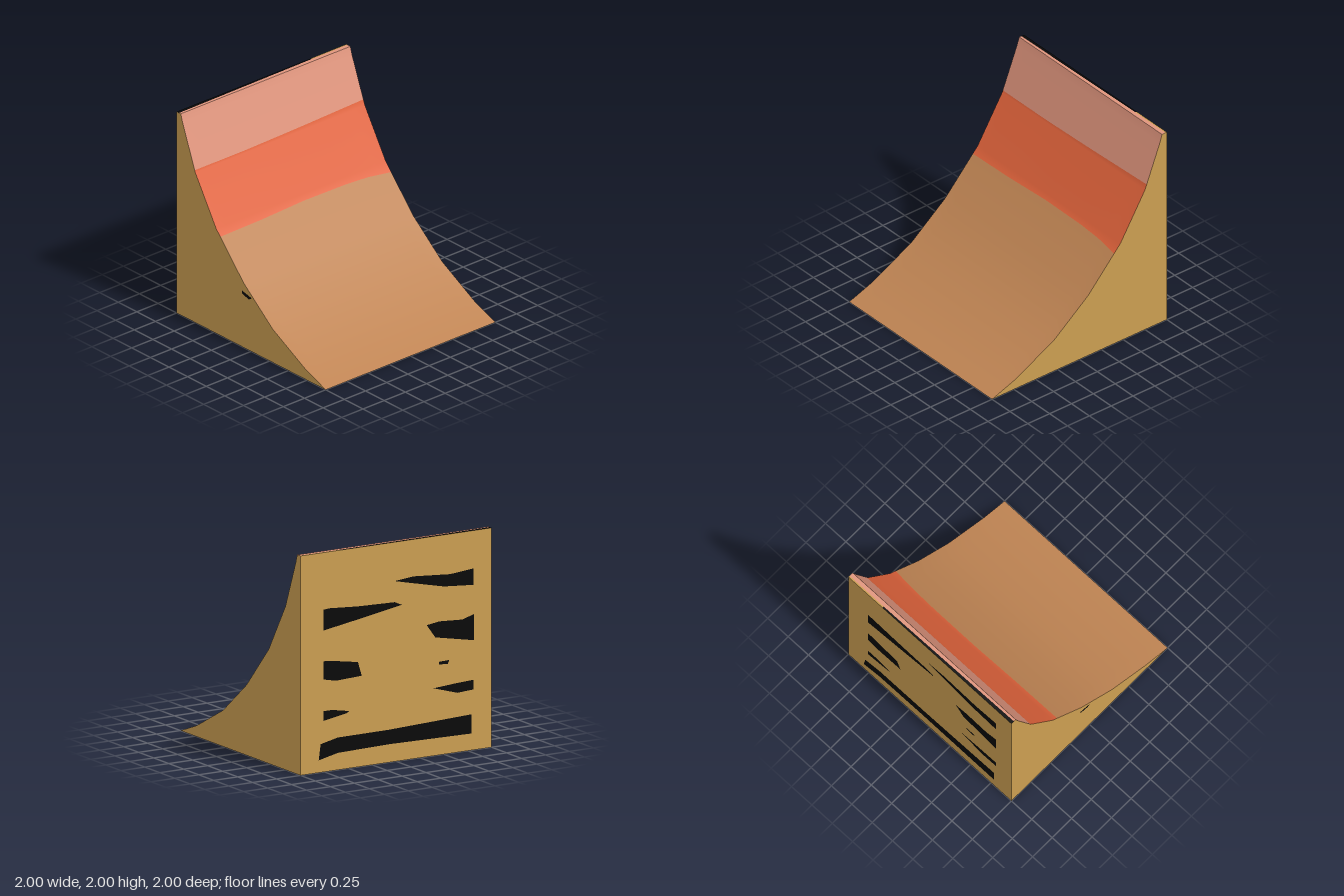
import * as THREE from 'three';

const mat = (name, color) => {
  const m = new THREE.MeshStandardMaterial({ color });
  m.name = name;
  return m;
};

// Side profile of the ramp as [z, y], from the front toe to the top lip
const PROFILE = [[1, 0], [0.73, 0.1], [0.29, 0.33], [-0.1, 0.64], [-0.47, 1.04], [-0.75, 1.49], [-0.92, 1.92], [-0.945, 2]];

const lerpTable = (table, t) => {
  for (let i = 1; i < table.length; i++) {
    const [a, av] = table[i - 1], [b, bv] = table[i];
    if (t <= b) return av + (bv - av) * (t - a) / (b - a);
  }
  return table[table.length - 1][1];
};
const depthAt = y => lerpTable(PROFILE.map(([z, h]) => [h, z]), y);

// Heights of the two wavy colour borders across the width
const lowerBorder = x => lerpTable([[-1, 0.98], [-0.5, 0.985], [0, 0.998], [0.5, 0.995], [0.75, 0.985], [1, 0.96]], x);
const upperBorder = x => lerpTable([[-1, 1.51], [-0.4, 1.51], [0.2, 1.52], [1, 1.54]], x);

// Curved riding surface: one smooth grid with a material group per band
function rampSurface() {
  const rows = PROFILE.map(p => () => p[1]);
  rows.splice(6, 0, upperBorder);
  rows.splice(4, 0, lowerBorder);
  const cols = 16, pos = [], index = [];
  for (const row of rows)
    for (let c = 0; c <= cols; c++) {
      const x = -1 + 2 * c / cols, y = row(x);
      pos.push(x, y, depthAt(y));
    }
  for (let r = 0; r < rows.length - 1; r++)
    for (let c = 0; c < cols; c++) {
      const a = r * (cols + 1) + c, b = a + cols + 1;
      index.push(a, a + 1, b, a + 1, b + 1, b);
    }
  const g = new THREE.BufferGeometry();
  g.setAttribute('position', new THREE.Float32BufferAttribute(pos, 3));
  g.setIndex(index);
  g.computeVertexNormals();
  const perRow = cols * 6;
  g.addGroup(0, 4 * perRow, 0);
  g.addGroup(4 * perRow, 3 * perRow, 1);
  g.addGroup(7 * perRow, 2 * perRow, 2);
  return g;
}

const flat = points => new THREE.ShapeGeometry(new THREE.Shape(points.map(([x, y]) => new THREE.Vector2(x, y))));

// Dark openings painted on the back, as [x, y] outlines
const BACK_PATCHES = [
  [[0.76, 1.48], [0.7, 1.485], [0.4, 1.464], [0.015, 1.453], [-0.06, 1.42], [0.37, 1.35], [0.76, 1.29]],
  [[0.015, 1.645], [-0.18, 1.663], [-0.565, 1.634], [-0.81, 1.655], [-0.81, 1.505], [-0.5, 1.53], [-0.16, 1.605]],
  [[0.76, 1.01], [0.66, 1], [0.4, 0.957], [0.36, 0.827], [0.63, 0.816], [0.76, 0.844]],
  [[-0.32, 1.2], [-0.45, 1.218], [-0.69, 1.204], [-0.815, 1.238], [-0.815, 1], [-0.41, 1.077]],
  [[0.76, 0.555], [0.67, 0.555], [0.49, 0.522], [0.52, 0.505], [0.76, 0.467]],
  [[-0.45, 0.85], [-0.556, 0.853], [-0.54, 0.82], [-0.45, 0.825]],
  [[-0.39, 0.616], [-0.6, 0.63], [-0.81, 0.64], [-0.81, 0.552], [-0.64, 0.543]],
  [[0.79, 0.258], [0.61, 0.296], [0.08, 0.298], [-0.79, 0.328], [-0.79, 0.153], [0.08, 0.166], [0.61, 0.156], [0.81, 0.113]],
];

export function createModel() {
  const group = new THREE.Group();
  const brown = mat('brown', 0xbf8453);
  const orange = mat('orange', 0xe1633b);
  const pink = mat('pink', 0xe0957d);
  const tan = mat('tan', 0xcb9e51);
  const black = mat('black', 0x080808);
  const add = (name, geometry, material) => {
    const mesh = new THREE.Mesh(geometry, material);
    mesh.name = name;
    group.add(mesh);
    return mesh;
  };

  add('rampSurface', rampSurface(), [brown, orange, pink]);

  // Side walls
  const outline = [...PROFILE, [-1, 2], [-1, 0]];
  add('rightSide', flat(outline).rotateY(-Math.PI / 2).translate(-1, 0, 0), tan);
  add('leftSide', flat(outline.map(([z, y]) => [-z, y])).rotateY(Math.PI / 2).translate(1, 0, 0), tan);
  add('sideMark', flat([[0.01, 0.53], [-0.12, 0.56], [-0.12, 0.53], [-0.03, 0.505]])
    .rotateY(-Math.PI / 2).translate(-1.002, 0, 0), black);

  // Back wall and base
  add('backWall', new THREE.PlaneGeometry(2, 2).rotateY(Math.PI).translate(0, 1, -1), tan);
  add('base', new THREE.PlaneGeometry(2, 2).rotateX(Math.PI / 2), black);
  for (const patch of BACK_PATCHES)
    add('backPatch', flat(patch.map(([x, y]) => [-x, y])).rotateY(Math.PI).translate(0, 0, -1.002), black);

  // Top lip, split into pink, black and tan strips as [x, z] outlines
  const strip = (name, points, material) =>
    add(name, flat(points.map(([x, z]) => [x, -z])).rotateX(-Math.PI / 2).translate(0, 2, 0), material);
  strip('topLip', [[-1, -0.945], [1, -0.945], [1, -0.985], [0.58, -0.985], [-0.1, -0.978], [-1, -0.968]], pink);
  strip('topDarkEdge', [[-1, -0.968], [-0.1, -0.978], [0.58, -0.985], [0.58, -1], [-1, -1]], black);
  strip('topTanEdge', [[0.58, -0.985], [1, -0.985], [1, -1], [0.58, -1]], tan);
  return group;
}
